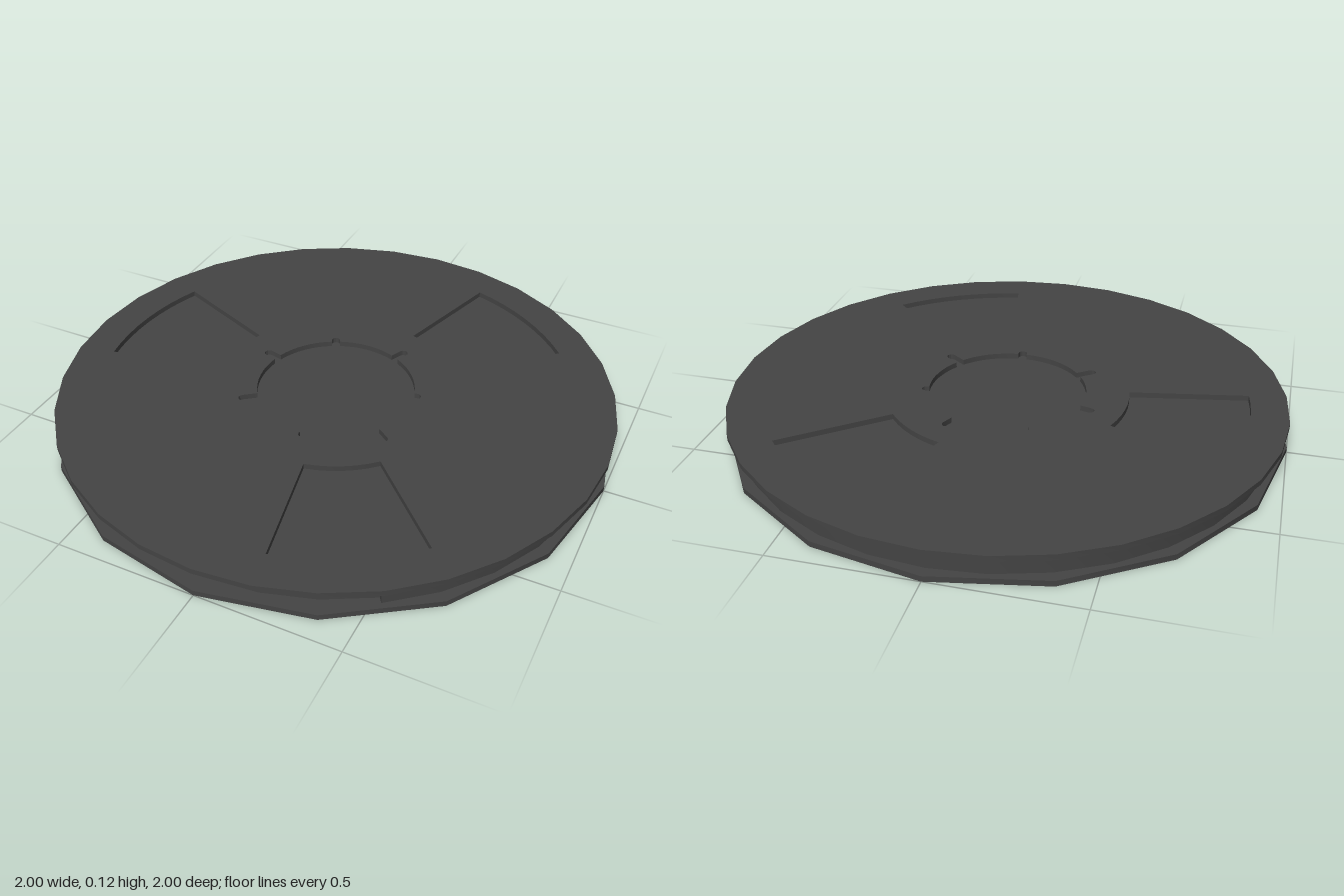
import * as THREE from 'three';
import { toCreasedNormals } from 'three/addons/utils/BufferGeometryUtils.js';

const RAD = Math.PI / 180;
const polar = (r, deg) => new THREE.Vector2(r * Math.cos(deg * RAD), r * Math.sin(deg * RAD));

// Points along an arc, angles in degrees (0 = +x, 90 = -z)
function arc(r, from, to, steps) {
  const pts = [];
  for (let i = 0; i <= steps; i++) pts.push(polar(r, from + ((to - from) * i) / steps));
  return pts;
}

const polygon = (r, sides) => arc(r, 0, 360, sides).slice(0, -1);

// Flat plate lying on the ground plane, raised to y
function plate(name, shape, y, height, material) {
  let geo = new THREE.ExtrudeGeometry(shape, { depth: height, bevelEnabled: false });
  geo.rotateX(-Math.PI / 2);
  geo.translate(0, y, 0);
  geo = toCreasedNormals(geo, 25 * RAD);
  const mesh = new THREE.Mesh(geo, material);
  mesh.name = name;
  return mesh;
}

// Sector-shaped window
function windowHole(from, to) {
  return new THREE.Path([...arc(0.866, from, to, 8), ...arc(0.44, to, from, 6)]);
}

// Round hub opening with seven rounded slots of two lengths
function hubHole() {
  const R = 0.285, w = 0.016;
  const slots = [[-143, 0.355], [-87, 0.31], [-36, 0.355], [14, 0.31], [65, 0.345], [115.6, 0.31], [165.6, 0.345]];
  const half = Math.asin(w / R) / RAD;
  const pts = [];
  slots.forEach(([angle, reach], i) => {
    const next = i < slots.length - 1 ? slots[i + 1][0] : slots[0][0] + 360;
    const tip = polar(reach - w, angle);
    for (const p of [polar(R, angle - half), ...arc(w, angle - 90, angle + 90, 6).map((q) => q.add(tip))]) pts.push(p);
    pts.push(...arc(R, angle + half, next - half, 8).slice(0, -1));
  });
  return new THREE.Path(pts);
}

export function createModel() {
  const group = new THREE.Group();
  group.name = 'tapeReel';
  const material = new THREE.MeshStandardMaterial({ color: 0x444444 });

  // Lower flange: solid 16-sided disc
  group.add(plate('lowerFlange', new THREE.Shape(polygon(1, 16)), 0, 0.02, material));

  // Wound tape, with a slightly recessed stretch at the front (+z)
  const tape = new THREE.Shape([
    ...arc(0.96, -56.25, 236.25, 26),
    ...arc(0.938, 236.25, 303.75, 6),
  ]);
  group.add(plate('woundTape', tape, 0.02, 0.075, material));

  // Upper flange: 32-sided disc with windows and slotted hub
  const top = new THREE.Shape(polygon(1, 32));
  top.holes.push(hubHole());
  for (const [from, to] of [[39.5, 73], [157.5, 191], [281.5, 315.3]]) top.holes.push(windowHole(from, to));
  group.add(plate('upperFlange', top, 0.095, 0.02, material));

  return group;
}
